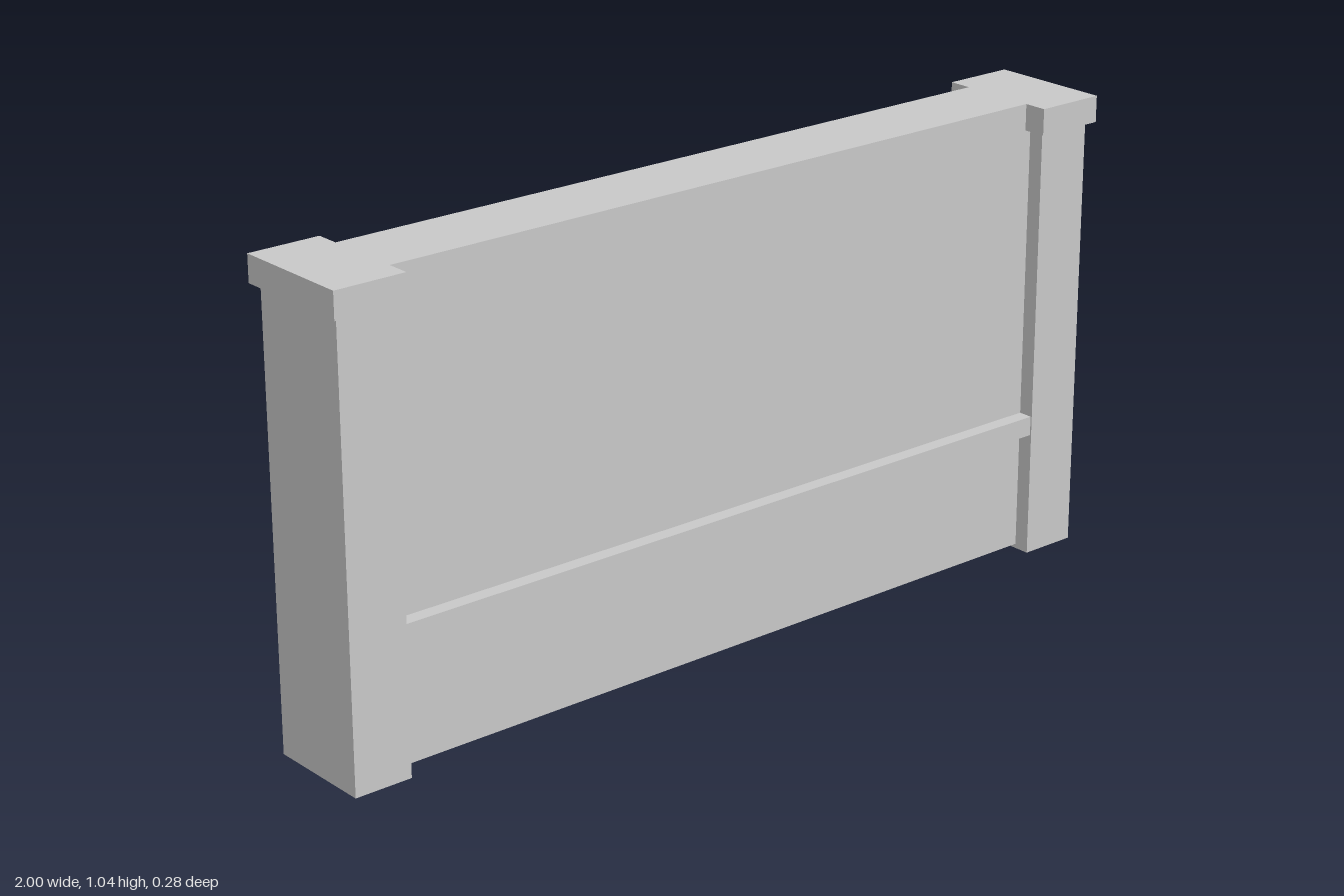
import * as THREE from 'three';

export function createModel() {
  const model = new THREE.Group();
  model.name = 'wallSection';
  const stone = new THREE.MeshStandardMaterial({ color: 0xc8c8c8 });
  stone.name = 'light grey stone';

  // Box spanning y0..y1, centred on z = 0
  function block(name, width, depth, y0, y1, x = 0) {
    const mesh = new THREE.Mesh(new THREE.BoxGeometry(width, y1 - y0, depth), stone);
    mesh.name = name;
    mesh.position.set(x, (y0 + y1) / 2, 0);
    model.add(mesh);
  }

  // Wall panel, slightly off the ground, with a rail showing on both faces
  block('panel', 1.72, 0.176, 0.01, 1.043);
  block('rail', 1.72, 0.241, 0.284, 0.328);

  // End posts with overhanging caps
  for (const [side, s] of [['left', 1], ['right', -1]]) {
    block(side + 'Post', 0.133, 0.248, 0, 0.984, s * 0.9185);
    block(side + 'Cap', 0.163, 0.282, 0.984, 1.043, s * 0.9185);
  }
  return model;
}
